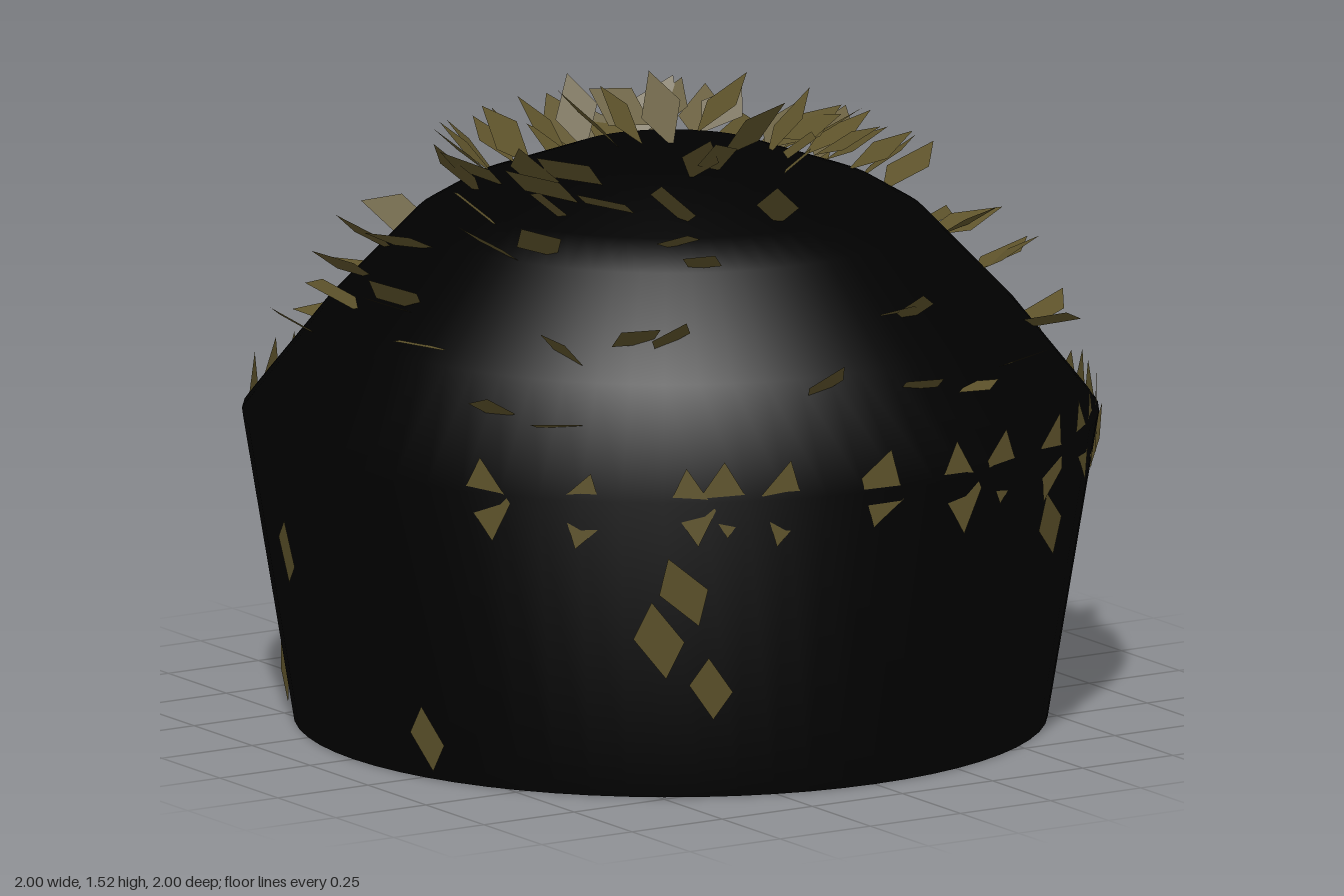
import * as THREE from 'three';
import { mergeGeometries } from 'three/addons/utils/BufferGeometryUtils.js';

// small seeded generator, returns a value between a and b
let seed = 11;
function rand(a, b) {
  seed = (seed * 16807) % 2147483647;
  return a + (b - a) * (seed / 2147483647);
}

// body profile from the open base over the rim to the top: radius, height
const PROFILE = [[0.88, 0], [1, 0.73], [0.81, 0.97], [0.6, 1.19], [0.5, 1.25], [0.24, 1.345], [0, 1.365]];

function domeHeight(r) {
  for (let i = 2; i < PROFILE.length; i++) {
    const [r0, y0] = PROFILE[i - 1], [r1, y1] = PROFILE[i];
    if (r >= r1) return y0 + (y1 - y0) * (r0 - r) / (r0 - r1);
  }
}

// clusters of flakes on the dome: x, z
const CLUSTERS = [
  [-0.42, -0.85], [-0.3, -0.83], [-0.16, -0.83], [-0.02, -0.88], [-0.31, -0.67], [0.1, -0.85],
  [0.1, -0.63], [0.2, -0.83], [0.13, -0.54], [0.3, -0.74], [0.36, -0.68], [0.25, -0.5],
  [0.43, -0.53], [0.55, -0.65], [0.78, -0.58], [0.6, -0.47], [0.42, -0.4], [0.47, -0.25],
  [0.6, -0.35], [0.8, -0.25], [0.77, -0.1], [0.02, -0.49], [-0.22, -0.5], [-0.28, -0.43],
  [-0.35, -0.33], [-0.25, -0.3], [-0.06, -0.3], [0.07, -0.32], [0.18, -0.3], [0.28, -0.22],
  [0.22, -0.13], [0.5, -0.1], [0.42, 0], [0.33, 0.07], [0.42, 0.13], [0.57, 0.12],
  [0.6, -0.02], [0.73, 0.1], [0.88, 0.23], [0.73, 0.27], [0.74, 0.47], [0.25, 0.1],
  [0.1, 0.18], [0.13, 0.33], [-0.03, 0.5], [-0.1, 0.28], [-0.25, 0.4], [-0.3, 0.5],
  [-0.37, 0.3], [-0.35, 0.12], [-0.4, 0.05], [-0.46, 0.2], [-0.6, 0.17], [-0.75, 0],
  [-0.8, 0.18], [-0.78, 0.45], [-0.62, 0.5], [-0.48, 0.6], [-0.7, 0.6], [-0.77, -0.4],
  [-0.6, -0.35], [-0.75, -0.25], [-0.65, -0.13], [-0.45, -0.2], [-0.15, -0.1], [-0.08, -0.07],
  [-0.55, 0.03], [0.2, 0.73], [0.13, 0.87], [-0.12, 0.85], [0.47, 0.75], [0.3, 0.85],
];

// flat diamond centred on a point; angle is measured from +z towards +x,
// lift raises its long axis from outward (0) to upward (PI / 2)
function flake(angle, r, y, lift, roll, spin, size = 1) {
  const shape = new THREE.Shape();
  const l = 0.09 * size * rand(0.85, 1.1), w = 0.053 * size * rand(0.85, 1.1);
  shape.moveTo(0, l).lineTo(-w, 0.015).lineTo(0, -l).lineTo(w, -0.015).closePath();
  const g = new THREE.ShapeGeometry(shape);
  g.rotateZ(spin);
  g.rotateY(roll);
  g.rotateX(Math.PI / 2 - lift);
  g.translate(0, y, r);
  g.rotateY(angle);
  return g;
}

function domeFlake(x, z) {
  const r = Math.hypot(x, z);
  const lift = rand(0.55, 1.05) * (1 - r) + rand(0.05, 0.6) * r;
  return flake(Math.atan2(x, z), Math.min(r + 0.01, 0.91), domeHeight(r) + 0.055 + 0.02 * (1 - r),
    lift, rand(-0.5, 0.5), rand(-0.7, 0.7), 1.08);
}

export function createModel() {
  const model = new THREE.Group();
  const black = new THREE.MeshStandardMaterial({ name: 'black', color: 0x000000, side: THREE.DoubleSide });
  const olive = new THREE.MeshStandardMaterial({ name: 'olive', color: 0x5e532b, side: THREE.DoubleSide });

  const add = (name, geometry, material) => {
    const mesh = new THREE.Mesh(geometry, material);
    mesh.name = name;
    model.add(mesh);
  };

  // tapered wall and dome in one smooth shell, open underneath
  add('body', new THREE.LatheGeometry(PROFILE.map(p => new THREE.Vector2(...p)), 64), black);

  // flakes bristling out of the dome, some of them in pairs
  const domeFlakes = [];
  CLUSTERS.forEach(([x, z], i) => {
    domeFlakes.push(domeFlake(x, z));
    if (i % 2 && Math.hypot(x, z) < 0.85) {
      domeFlakes.push(domeFlake(x + rand(-0.09, 0.09), z + rand(-0.09, 0.09)));
    }
  });
  add('domeFlakes', mergeGeometries(domeFlakes), olive);

  // upright flakes cutting through the rim
  const rimAngles = [
    -1.02, -0.78, -0.52, -0.44, -0.3, -0.05, 0.18, 0.33, 0.54, 0.75, 0.88, 1.02, 1.16, 1.27, 1.37, 1.49,
    2.03, 2.35, 2.46, 2.8, 2.95, 3.1, 3.25, 3.4, 3.55, 3.68, 3.8, 3.95,
  ];
  const rimFlakes = rimAngles.map(a => flake(a, rand(0.986, 0.995), 0.72 + rand(-0.02, 0.02),
    Math.PI / 2, rand(-0.08, 0.08), rand(-0.4, 0.4), 1.15));
  add('rimFlakes', mergeGeometries(rimFlakes), olive);

  // stray flakes clinging to the wall: angle, height
  const strays = [
    [-0.54, 0.51], [-0.6, 0.39], [-0.47, 0.27], [0.56, 0.55], [1.27, 0.65], [1.57, 0.55],
    [2.03, 0.44], [1.07, 0.65], [-2.55, 0.6], [-2.34, 0.6], [-2.43, 0.47], [-1.76, 0.47],
    [-2.24, 0.1], [-1.25, 0.1], [3.7, 0.3],
  ];
  const wallFlakes = strays.map(([a, y]) =>
    flake(a, 0.888 + 0.164 * y, y, Math.PI / 2 - 0.16, rand(-0.1, 0.1), rand(-0.5, 0.5)));
  add('wallFlakes', mergeGeometries(wallFlakes), olive);

  return model;
}
